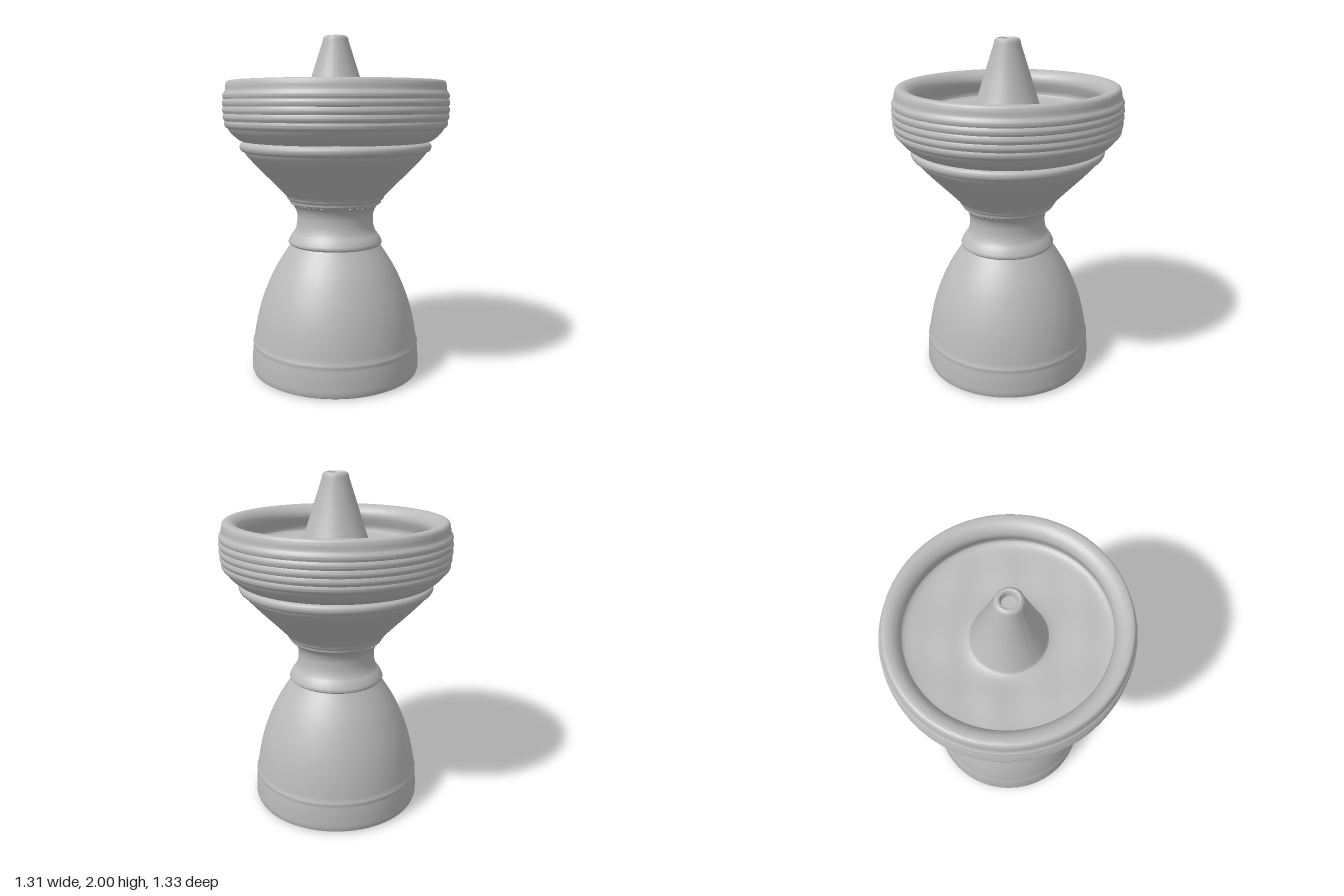
import * as THREE from 'three';
import { toCreasedNormals } from 'three/addons/utils/BufferGeometryUtils.js';

const SEGMENTS = 96;

// Points along a smooth curve through [radius, y] pairs
function smooth(pairs, steps) {
  const curve = new THREE.SplineCurve(pairs.map(([r, y]) => new THREE.Vector2(r, y)));
  return curve.getPoints(steps).map((p) => new THREE.Vector2(Math.max(p.x, 0), p.y));
}

const straight = (pairs) => pairs.map(([r, y]) => new THREE.Vector2(r, y));

export function createModel() {
  const model = new THREE.Group();
  const clay = new THREE.MeshStandardMaterial({ color: 0xbababa });
  clay.name = 'grey clay';

  // Turn a profile, listed from the bottom up the outside, into a named part
  function turn(name, points, { x = -0.005, z = 0.003, depth = 1.01, shape } = {}) {
    let geometry = new THREE.LatheGeometry(points, SEGMENTS);
    if (shape) shape(geometry.attributes.position);
    geometry = toCreasedNormals(geometry, 0.7);
    const mesh = new THREE.Mesh(geometry, clay);
    mesh.name = name;
    mesh.position.set(x, 0, z);
    mesh.scale.z = depth;
    model.add(mesh);
  }

  // Bell-shaped foot with a flat underside and a faint band
  turn('foot', [
    ...straight([[0, 0.002], [0.485, 0.002], [0.502, 0.012], [0.508, 0.03]]),
    ...smooth([[0.508, 0.05], [0.505, 0.12], [0.499, 0.175]], 8),
    ...straight([[0.502, 0.185], [0.5, 0.197], [0.495, 0.205]]),
    ...smooth([[0.494, 0.21], [0.479, 0.3], [0.455, 0.4], [0.421, 0.5],
      [0.372, 0.61], [0.32, 0.7], [0.266, 0.78]], 28),
  ], { x: -0.007, depth: 1 });

  // Narrow waist with a raised ring at its lower end
  turn('neck', [
    ...smooth([[0.266, 0.78], [0.277, 0.79], [0.275, 0.805], [0.262, 0.83], [0.245, 0.853]], 14),
    ...smooth([[0.24, 0.86], [0.229, 0.89], [0.224, 0.93], [0.226, 0.97],
      [0.24, 1.005], [0.258, 1.025]], 20),
  ], { x: -0.008, depth: 1.02 });

  // Flaring cup with two small throwing lines
  turn('cup', [
    ...smooth([[0.258, 1.025], [0.271, 1.034], [0.272, 1.046], [0.285, 1.058],
      [0.29, 1.07]], 10),
    ...smooth([[0.295, 1.077], [0.36, 1.145], [0.45, 1.237], [0.515, 1.308], [0.533, 1.335]], 16),
  ]);

  // Rounded collar below the rim
  turn('collar', smooth([[0.533, 1.335], [0.55, 1.343], [0.559, 1.362], [0.555, 1.382],
    [0.535, 1.395]], 16));

  // Ribbed rim, rolled over the top and undercut inside
  const ribs = [];
  for (let i = 0; i <= 50; i++) {
    const t = i / 50;
    const bulge = 0.648 - 0.03 * (1 - Math.sin(Math.PI * (0.14 + 0.62 * t))) ** 1.3;
    ribs.push(new THREE.Vector2(bulge + 0.007 * Math.abs(Math.sin(t * Math.PI * 5)), 1.475 + 0.205 * t));
  }
  turn('rim', [
    ...smooth([[0.535, 1.395], [0.558, 1.402], [0.588, 1.425], [0.612, 1.45], [0.628, 1.475]], 14),
    ...ribs.slice(1),
    ...smooth([[0.636, 1.69], [0.634, 1.715], [0.625, 1.738], [0.602, 1.744], [0.57, 1.735],
      [0.543, 1.708], [0.534, 1.675], [0.543, 1.64], [0.555, 1.605], [0.55, 1.575]], 36),
  ], { x: -0.002, depth: 1.016 });

  // Hand-pressed bowl floor with gentle dents that fade out at both edges
  turn('bowlFloor', smooth([[0.565, 1.6], [0.535, 1.575], [0.45, 1.565], [0.33, 1.56],
    [0.24, 1.56], [0.19, 1.575]].reverse(), 24).reverse(), {
    shape: (position) => {
      for (let i = 0; i < position.count; i++) {
        const px = position.getX(i);
        const pz = position.getZ(i);
        const r = Math.hypot(px, pz);
        const fade = Math.sin(Math.PI * THREE.MathUtils.clamp((r - 0.19) / 0.36, 0, 1));
        const dent = Math.sin(px * 13 + 1) * Math.cos(pz * 11) + 0.5 * Math.sin((px - pz) * 19);
        position.setY(i, position.getY(i) + 0.006 * fade * dent);
      }
    },
  });

  // Central tapered spout with a rounded lip and shallow hole
  turn('spout', straight([[0.225, 1.555], [0.208, 1.565], [0.198, 1.585], [0.148, 1.74],
    [0.074, 1.972], [0.073, 1.983], [0.067, 1.994], [0.056, 2], [0.046, 1.997],
    [0.04, 1.985], [0.038, 1.96], [0, 1.957]]), { x: -0.006, z: 0.006, depth: 1.02 });

  return model;
}
